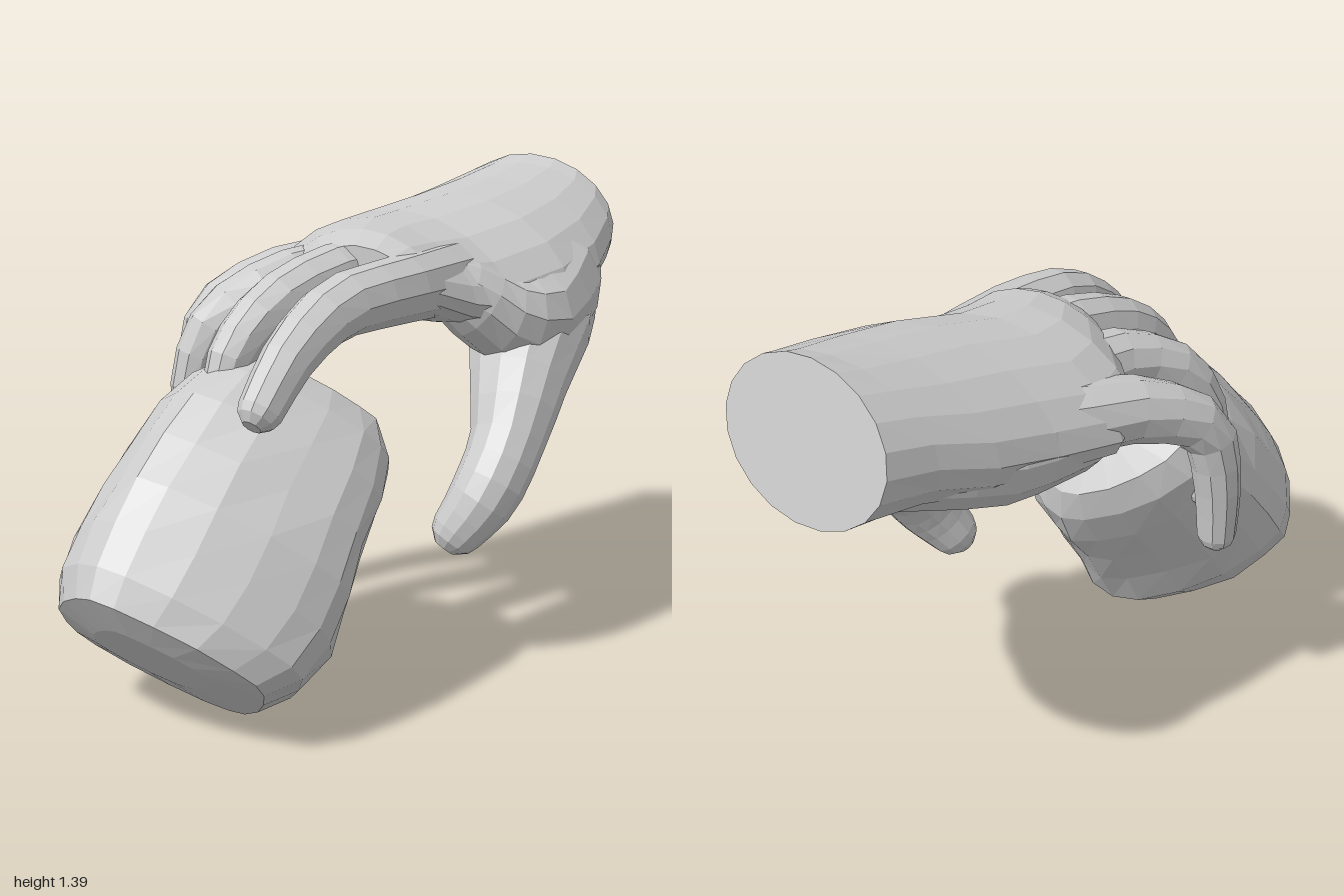
import * as THREE from 'three';

const material = new THREE.MeshStandardMaterial({ color: 0xcccccc, flatShading: true });

// Skin a list of equal-length rings (counter-clockwise about the travel direction), capped at both ends
function loft(name, rings) {
  const n = rings[0].length, pos = [], index = [];
  for (const ring of rings) for (const p of ring) pos.push(p.x, p.y, p.z);
  for (let i = 0; i < rings.length - 1; i++) {
    for (let j = 0; j < n; j++) {
      const a = i * n + j, b = i * n + (j + 1) % n;
      index.push(a, b, b + n, a, b + n, a + n);
    }
  }
  [0, rings.length - 1].forEach((r, end) => {
    const c = new THREE.Vector3();
    rings[r].forEach((p) => c.addScaledVector(p, 1 / n));
    const ci = pos.length / 3;
    pos.push(c.x, c.y, c.z);
    for (let j = 0; j < n; j++) {
      const a = r * n + j, b = r * n + (j + 1) % n;
      index.push(ci, end ? a : b, end ? b : a);
    }
  });
  const g = new THREE.BufferGeometry();
  g.setAttribute('position', new THREE.Float32BufferAttribute(pos, 3));
  g.setIndex(index);
  g.computeVertexNormals();
  const mesh = new THREE.Mesh(g, material);
  mesh.name = name;
  return mesh;
}

// Tapered digit through points [x, y, z, radius] with a rounded tip
function digit(name, points, sides = 10, steps = 9) {
  const curve = new THREE.CatmullRomCurve3(points.map((p) => new THREE.Vector3(p[0], p[1], p[2])));
  const rings = [];
  const addRing = (t, radius, push = 0) => {
    const c = curve.getPoint(t), dir = curve.getTangent(t);
    const u = new THREE.Vector3(0, 0, 1).addScaledVector(dir, -dir.z).normalize();
    const v = new THREE.Vector3().crossVectors(dir, u);
    c.addScaledVector(dir, push);
    rings.push(Array.from({ length: sides }, (_, j) => {
      const a = j / sides * Math.PI * 2;
      return c.clone().addScaledVector(u, radius * Math.cos(a)).addScaledVector(v, radius * Math.sin(a));
    }));
  };
  for (let i = 0; i <= steps; i++) {
    const f = i / steps * (points.length - 1), k = Math.min(Math.floor(f), points.length - 2);
    addRing(i / steps, THREE.MathUtils.lerp(points[k][3], points[k + 1][3], f - k));
  }
  const tip = points[points.length - 1][3];
  addRing(1, tip * 0.85, tip * 0.4);
  addRing(1, tip * 0.45, tip * 0.75);
  return loft(name, rings);
}

// Wrist and palm: flattened sections that arch down toward both edges
function palm() {
  // x, centre y, half height, min z, max z, arch
  const sections = [
    [0.94, 1.19, 0.2, -0.2, 0.38, 0],
    [0.82, 1.17, 0.2, -0.23, 0.42, 0.1],
    [0.65, 1.145, 0.195, -0.28, 0.47, 0.3],
    [0.45, 1.13, 0.18, -0.32, 0.48, 0.45],
    [0.25, 1.12, 0.155, -0.37, 0.42, 0.6],
    [0.12, 1.125, 0.14, -0.33, 0.375, 0.6],
    [0.0, 1.135, 0.115, -0.2, 0.34, 0.6],
    [-0.08, 1.13, 0.085, -0.1, 0.31, 0.5],
  ];
  const n = 20;
  return loft('palm', sections.map(([x, y, hy, z0, z1, arch], i) =>
    Array.from({ length: n }, (_, j) => {
      const a = j / n * Math.PI * 2, s = Math.sin(a), dz = (z1 - z0) / 2 * Math.cos(a);
      const tilt = i === 0 ? -0.05 * s - 0.035 * Math.cos(a) : 0;
      return new THREE.Vector3(x + tilt, y + hy * s - arch * dz * dz, (z0 + z1) / 2 + dz);
    })));
}

// Rock: a blunt block leaning at 45 degrees, with ridged, slightly roughened sections
function rock() {
  // distance along the lean, lower and upper limit across it, half depth
  const sections = [
    [-0.435, 0.6, 0.9, 0.18],
    [-0.41, 0.41, 1.02, 0.31],
    [-0.33, 0.335, 1.05, 0.37],
    [-0.21, 0.3, 1.065, 0.395],
    [-0.08, 0.325, 1.065, 0.39],
    [0.06, 0.35, 1.06, 0.375],
    [0.2, 0.37, 1.04, 0.36],
    [0.32, 0.405, 1.0, 0.33],
    [0.4, 0.46, 0.94, 0.265],
    [0.44, 0.58, 0.8, 0.14],
  ];
  let seed = 7;
  const random = () => (seed = (seed * 16807) % 2147483647) / 2147483647;
  const n = 20, ridge = (c) => Math.sign(c) * Math.abs(c) ** 1.3;
  return loft('rock', sections.map(([s, t0, t1, depth]) =>
    Array.from({ length: n }, (_, j) => {
      const a = j / n * Math.PI * 2, k = 0.98 + 0.04 * random();
      const dt = -(t1 - t0) / 2 * k * ridge(Math.sin(a)), t = (t0 + t1) / 2 + dt;
      return new THREE.Vector3((s - t) * Math.SQRT1_2, Math.max(0, (s + t) * Math.SQRT1_2),
        depth * k * ridge(Math.cos(a)) - 0.13 * dt);
    })));
}

export function createModel() {
  const model = new THREE.Group();
  model.name = 'handHoldingRock';
  const hand = new THREE.Group();
  hand.name = 'hand';
  hand.add(
    palm(),
    digit('indexFinger', [[0.3, 1.1, 0.22, 0.11], [-0.1, 1.105, 0.245, 0.092], [-0.33, 1.085, 0.215, 0.085],
      [-0.5, 0.99, 0.2, 0.072], [-0.62, 0.865, 0.195, 0.06]]),
    digit('middleFinger', [[0.2, 1.13, 0.08, 0.1], [-0.12, 1.12, 0.025, 0.088], [-0.31, 1.06, -0.02, 0.078],
      [-0.43, 0.95, -0.05, 0.066], [-0.475, 0.83, -0.06, 0.05]]),
    digit('ringFinger', [[0.22, 1.1, -0.08, 0.1], [-0.07, 1.085, -0.165, 0.085], [-0.23, 1.0, -0.26, 0.074],
      [-0.3, 0.83, -0.31, 0.06], [-0.295, 0.6, -0.305, 0.045]]),
    digit('littleFinger', [[0.4, 1.08, -0.17, 0.11], [0.1, 1.05, -0.34, 0.09], [-0.05, 0.96, -0.44, 0.075],
      [-0.09, 0.78, -0.465, 0.066], [-0.1, 0.61, -0.465, 0.055]]),
    digit('thumb', [[0.84, 1.11, 0.17, 0.17], [0.55, 0.96, 0.3, 0.2], [0.34, 0.8, 0.385, 0.145],
      [0.2, 0.64, 0.43, 0.105], [0.11, 0.51, 0.415, 0.1], [0.055, 0.405, 0.36, 0.076]], 12, 12),
    // Muscle and skin fold between thumb and index finger
    digit('thumbWeb', [[0.78, 1.13, 0.2, 0.17], [0.57, 1.04, 0.31, 0.19], [0.41, 0.98, 0.355, 0.16],
      [0.29, 1.0, 0.33, 0.13], [0.18, 1.08, 0.27, 0.1]], 12, 8),
    // Pad along the little-finger edge of the palm
    digit('palmPad', [[0.84, 1.13, -0.02, 0.13], [0.52, 1.06, -0.16, 0.145], [0.26, 1.035, -0.22, 0.125]], 12, 6),
  );
  model.add(hand, rock());
  return model;
}
